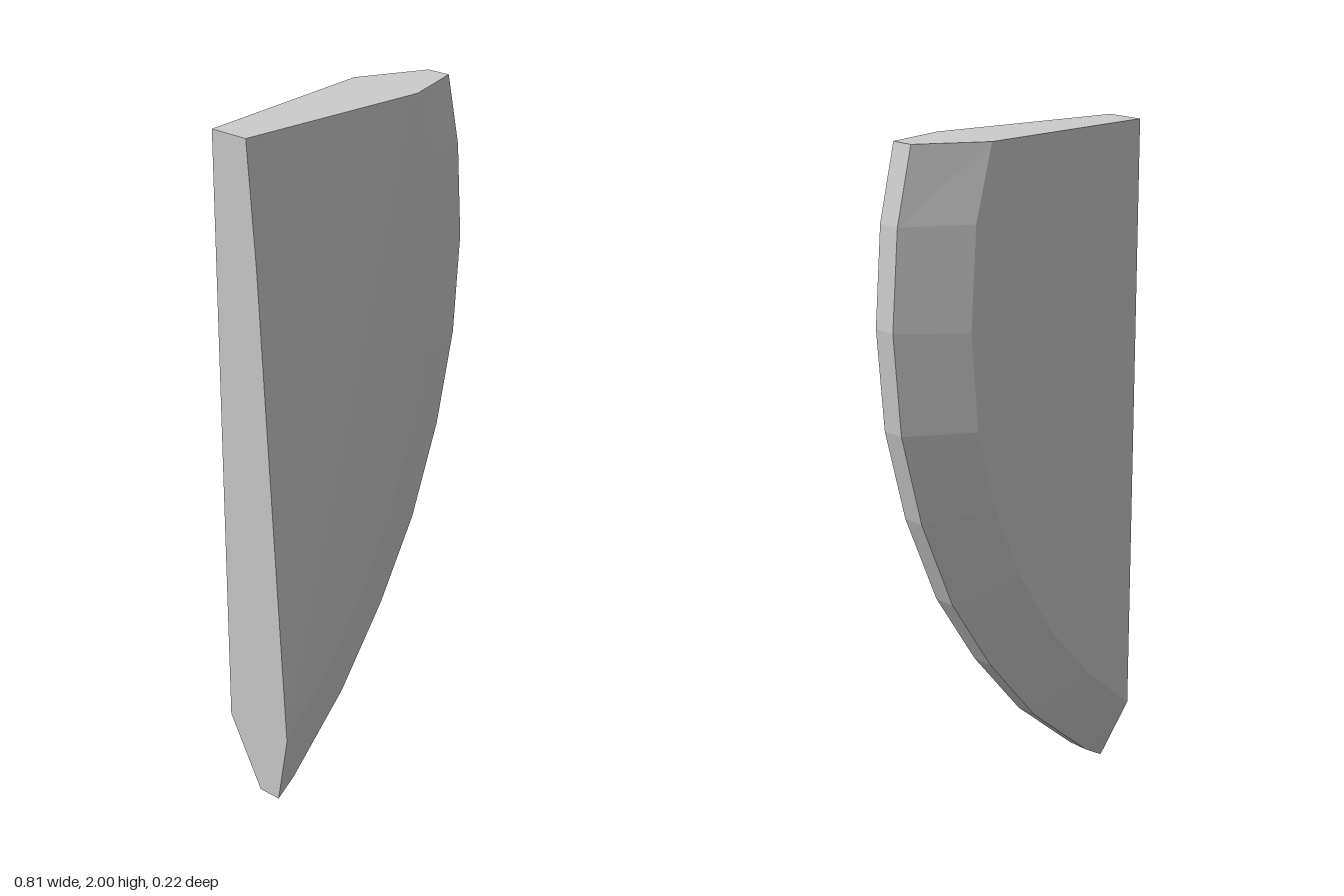
import * as THREE from 'three';

// Outer rim and inner face outline, paired from the bottom tip to the top
const OUTER = [[-0.407, 0], [-0.34, 0.04], [-0.12, 0.23], [0.06, 0.45], [0.205, 0.68],
  [0.315, 0.95], [0.382, 1.22], [0.405, 1.51], [0.383, 1.79], [0.333, 2]];
const INNER = [[-0.407, 0.22], [-0.407, 0.22], [-0.235, 0.37], [-0.08, 0.55], [0.045, 0.76],
  [0.14, 0.98], [0.203, 1.22], [0.226, 1.5], [0.207, 1.79], [0.15, 2]];
const FRONT = 0.107, RIM_FRONT = 0.07, RIM_BACK = 0, BACK = -0.11;

export function createModel() {
  const positions = [];
  // Adds a convex polygon, corners counter-clockwise from outside
  const polygon = (...p) => {
    for (let i = 1; i < p.length - 1; i++) positions.push(...p[0], ...p[i], ...p[i + 1]);
  };
  const at = ([x, y], z) => [x, y, z];

  const sections = OUTER.map((o, i) => [
    at(INNER[i], FRONT), at(o, RIM_FRONT), at(o, RIM_BACK), at(INNER[i], BACK),
  ]);
  const last = sections.length - 1;
  const bottom = sections[0], top = sections[last];
  const x = OUTER[0][0];
  const topCorner = [x, 2, 0.005], backCorner = [x, 2, BACK], bend = [x, 1.66, 0.031];

  // Bevels and narrow rim along the curved edge
  for (let i = 0; i < last; i++) {
    const a = sections[i], b = sections[i + 1];
    for (let k = 0; k < 3; k++) polygon(a[k], a[k + 1], b[k + 1], b[k]);
  }
  // Flat part of the front, then its tapered part
  polygon(...sections.slice(1).map((s) => s[0]));
  polygon(bottom[0], top[0], bend);
  polygon(bend, top[0], topCorner);
  // Flat back
  polygon(backCorner, ...sections.slice(1).map((s) => s[3]).reverse());
  // Straight side and top end
  polygon(bottom[2], bottom[1], bottom[0], bend, topCorner, backCorner, bottom[3]);
  polygon(topCorner, ...top, backCorner);

  const geometry = new THREE.BufferGeometry();
  geometry.setAttribute('position', new THREE.Float32BufferAttribute(positions, 3));
  geometry.computeVertexNormals();

  const blade = new THREE.Mesh(geometry,
    new THREE.MeshStandardMaterial({ color: 0xcccccc, flatShading: true }));
  blade.name = 'bevelledBlade';
  const group = new THREE.Group();
  group.name = 'curvedBlade';
  group.add(blade);
  return group;
}
